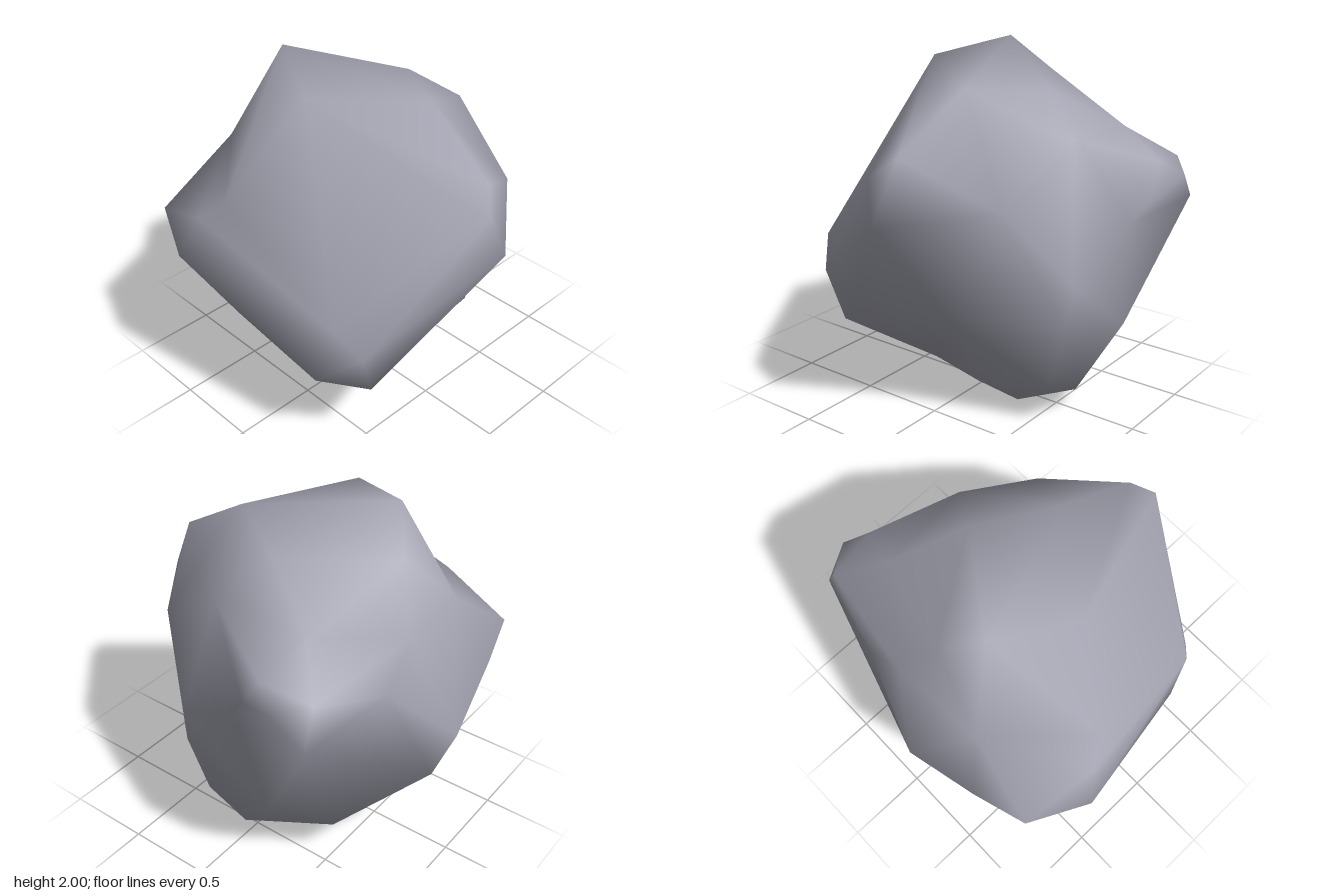
import * as THREE from 'three';
import { mergeVertices } from 'three/addons/utils/BufferGeometryUtils.js';
import { ConvexGeometry } from 'three/addons/geometries/ConvexGeometry.js';

// Corner points of the boulder, in rings from top to bottom
const crown = [
  [-0.18, 2, -0.465], [-0.41, 1.92, -0.04], [0.12, 1.85, 0.36],
  [0.39, 1.8, -0.06], [0.01, 1.8, -0.62],
];
const shoulder = [
  [0.65, 1.6, 0.1], [0.62, 1.57, -0.45], [0.88, 1.43, -0.37], [0.84, 1.39, -0.67],
  [0.975, 1.34, -0.5], [0.41, 1.26, -0.8], [0.17, 1.47, -0.78], [-0.37, 1.42, -0.73],
  [-0.8, 1.37, -0.25], [-0.89, 1.25, -0.38], [-0.05, 1.47, 0.92], [0.06, 1.57, 0.82],
];
const waist = [
  [0.02, 1.24, 0.98], [0.53, 1.3, 0.575], [0.77, 0.88, 0.275], [0.74, 0.66, 0.29],
  [0.91, 1.28, -0.28], [0.84, 1.12, -0.16], [0.93, 1.17, -0.68], [-0.04, 0.8, -0.98],
  [-0.5, 1, -0.9], [-0.82, 1.08, -0.815], [-0.98, 1, -0.47],
  [-0.76, 0.92, 0.53], [-0.67, 0.75, 0.65], [0.19, 0.62, 0.56],
];
const underside = [
  [-0.8, 0.55, 0.42], [-0.57, 0.46, 0.61], [-0.79, 0.73, -0.69], [-0.68, 0.48, -0.37],
  [0.12, 0.61, -0.93], [0.75, 0.46, -0.3], [0.62, 0.23, 0.26], [0.47, 0.27, -0.53],
  [0.62, 0.12, -0.01], [0.31, 0.01, 0.12], [0.28, 0, 0], [0, 0.1, -0.31],
  [-0.36, 0.22, -0.07], [-0.36, 0.22, 0.1], [-0.21, 0.17, 0.22], [0.12, 0.12, 0.24],
];

// Wrap a skin over the points. They are pulled toward a sphere while the hull
// is built, so that dents survive, then put back at their true radius.
function wrapSkin(points, centre, pull) {
  const pulled = points.map((p) => {
    const v = new THREE.Vector3(...p).sub(centre);
    return v.multiplyScalar(Math.pow(v.length(), -pull));
  });
  const hull = new ConvexGeometry(pulled);
  hull.deleteAttribute('normal');
  const skin = mergeVertices(hull, 1e-5);
  const position = skin.attributes.position;
  const v = new THREE.Vector3();
  for (let i = 0; i < position.count; i++) {
    v.fromBufferAttribute(position, i);
    v.multiplyScalar(Math.pow(v.length(), pull / (1 - pull))).add(centre);
    position.setXYZ(i, v.x, v.y, v.z);
  }
  skin.computeVertexNormals();
  return skin;
}

export function createModel() {
  const stone = new THREE.MeshStandardMaterial({ color: 0xa4a4b2 });
  stone.name = 'stoneGrey';

  const corners = [...crown, ...shoulder, ...waist, ...underside];
  const boulder = new THREE.Mesh(wrapSkin(corners, new THREE.Vector3(0, 1, 0), 0.85), stone);
  boulder.name = 'boulder';

  const group = new THREE.Group();
  group.name = 'rock';
  group.add(boulder);
  return group;
}
